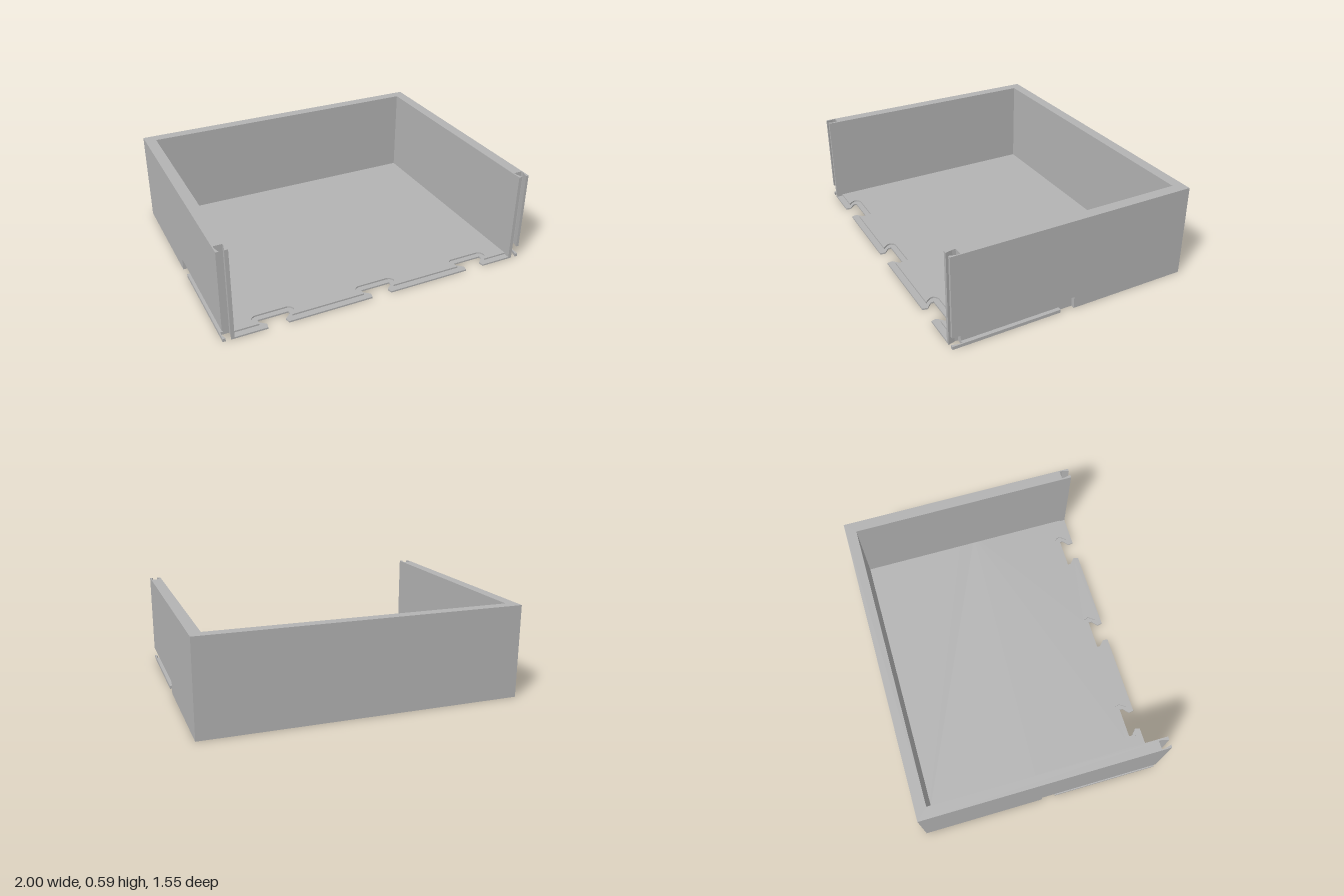
import * as THREE from 'three';

const FRONT = 0.777, BACK = -0.777, WALL = 0.93;

// Dovetail cut in the front edge of the floor, listed from +x to -x
const narrowHalf = [[0.064, FRONT], [0.058, 0.745], [0.096, 0.71], [0.096, 0.69]];
const wideHalf = [[0.1, 0.737], [0.122, 0.71], [0.13, 0.695], [0.129, 0.68], [0.118, 0.664], [0.1, 0.656]];
const flip = (pts) => pts.map(([x, z]) => [-x, z]).reverse();
const cuts = (half) => [
  ...[...half, ...flip(half)].map(([x, z]) => [x + 0.667, z]), // side cut
  ...half,                                                     // half of the middle cut
];

// Vertical dovetail slot in the front end of a side wall
const slotInner = [[0.941, 0.715], [0.941, 0.735], [0.952, FRONT], [WALL, FRONT]];
const slot = [[1, FRONT], [0.982, FRONT], [0.993, 0.735], [0.993, 0.715], ...slotInner];

// Outer side edges, from back to front
const backCorner = [1, BACK];
const edgeWithStrip = [backCorner, [1, 0], [0.975, 0], [0.975, 0.09], [1, 0.09], ...slot];
const edgeRecessed = [backCorner, [1, 0], [0.975, 0], [0.975, 0.715], ...slotInner];
const edgePlain = [backCorner, ...slot];
const innerWall = [[WALL, -0.707]];

export function createModel() {
  const group = new THREE.Group();
  const grey = new THREE.MeshStandardMaterial({ color: 0xb2b2b2 });
  grey.name = 'grey';

  // Mirrors a right-hand plan outline (x, z) and extrudes it upwards
  function layer(name, half, y0, y1) {
    const outline = [...half, ...flip(half)];
    const shape = new THREE.Shape(outline.map(([x, z]) => new THREE.Vector2(x, -z)));
    const geo = new THREE.ExtrudeGeometry(shape, { depth: y1 - y0, bevelEnabled: false });
    geo.rotateX(-Math.PI / 2);
    geo.translate(0, y0, 0);
    const mesh = new THREE.Mesh(geo, grey);
    mesh.name = name;
    group.add(mesh);
  }

  // Floor: thin lip with dovetail cuts, then the set-back upper sheet
  layer('floorLip', [...edgeWithStrip, ...cuts(narrowHalf)], 0, 0.01);
  layer('floorSheet', [...edgeWithStrip, [WALL, 0.737], ...cuts(wideHalf)], 0.01, 0.02);

  // Walls: lower band recessed on the outside, full thickness above
  layer('lowerWalls', [...edgeRecessed, ...innerWall], 0.02, 0.077);
  layer('upperWalls', [...edgePlain, ...innerWall], 0.077, 0.588);

  return group;
}
